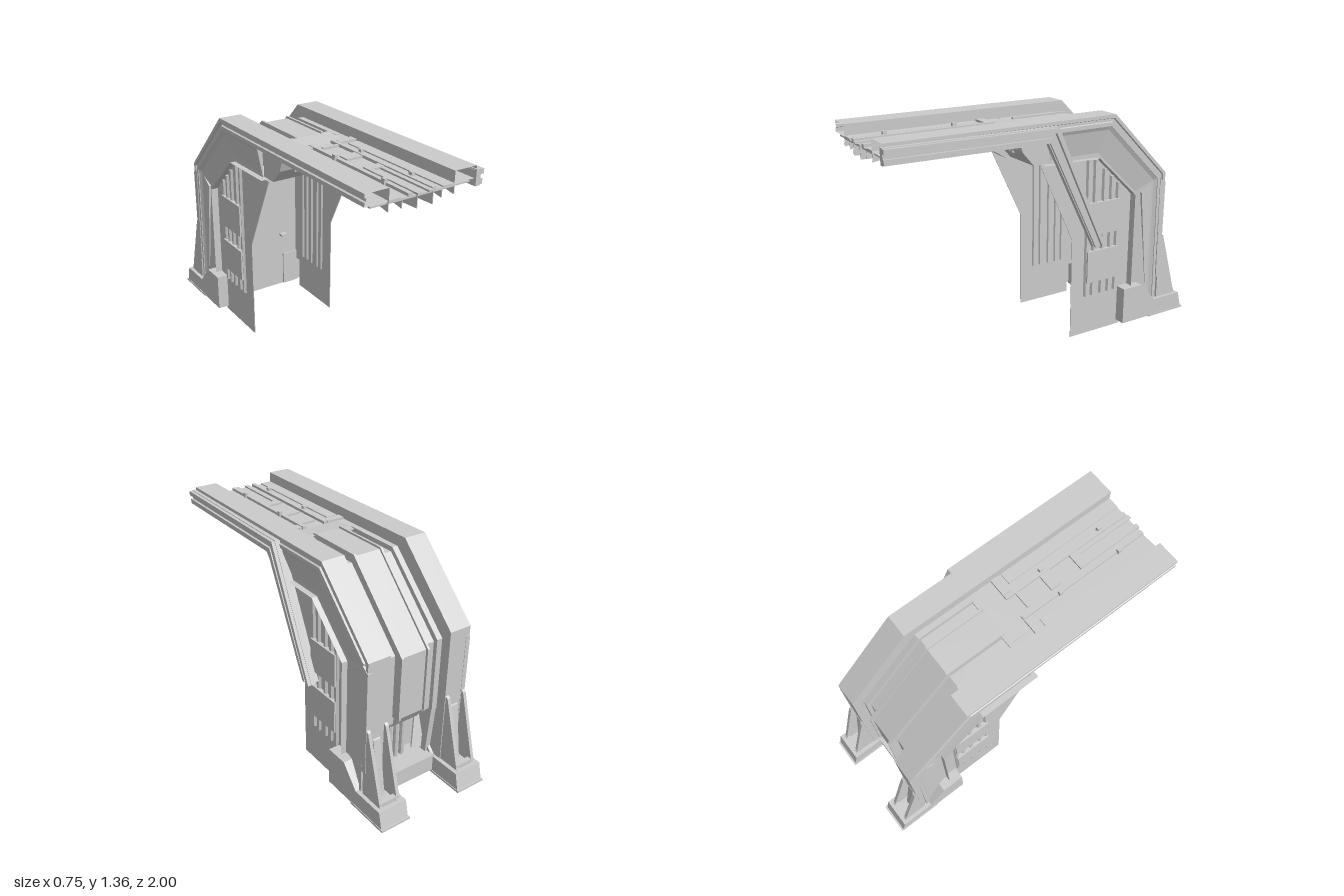
import * as THREE from 'three';

const mat = new THREE.MeshStandardMaterial({ color: 0xcccccc, flatShading: true, side: THREE.DoubleSide });
const CX = -0.01; // mirror plane of the paired parts

export function createModel() {
  const root = new THREE.Group();
  const add = (name, geo, parent = root) => {
    const m = new THREE.Mesh(geo, mat);
    m.name = name;
    parent.add(m);
    return m;
  };
  const box = (name, x0, x1, y0, y1, z0, z1, parent) => {
    const g = new THREE.BoxGeometry(Math.abs(x1 - x0), y1 - y0, Math.abs(z1 - z0));
    g.translate((x0 + x1) / 2, (y0 + y1) / 2, (z0 + z1) / 2);
    return add(name, g, parent);
  };
  // side outline given as [z, y], extruded across x
  const prism = (name, pts, x0, x1, parent) => {
    const s = new THREE.Shape(pts.map(([z, y]) => new THREE.Vector2(z, y)));
    const g = new THREE.ExtrudeGeometry(s, { depth: Math.abs(x1 - x0), bevelEnabled: false });
    g.rotateY(-Math.PI / 2);
    g.translate(Math.max(x0, x1), 0, 0);
    return add(name, g, parent);
  };
  // skin through a list of rails, each { x, path: [[z, y], ...] }
  const skin = (name, rails, parent) => {
    const pos = [], idx = [], n = rails[0].path.length;
    rails.forEach(r => r.path.forEach(([z, y]) => pos.push(r.x, y, z)));
    for (let i = 0; i < rails.length - 1; i++) {
      for (let j = 0; j < n - 1; j++) {
        const a = i * n + j, b = a + n;
        idx.push(a, b, a + 1, b, b + 1, a + 1);
      }
    }
    const g = new THREE.BufferGeometry();
    g.setAttribute('position', new THREE.Float32BufferAttribute(pos, 3));
    g.setIndex(idx);
    g.computeVertexNormals();
    return add(name, g, parent);
  };
  const mix = (A, B, t) => A.map((p, i) => [p[0] + (B[i][0] - p[0]) * t, p[1] + (B[i][1] - p[1]) * t]);
  const band = (A, B) => [...A, ...[...B].reverse()];

  // guide paths of the bent frame
  const outer = [[0.99, 1.355], [-0.41, 1.355], [-0.81, 0.96], [-0.81, 0.1]];
  const rim = [[0.99, 1.29], [-0.38, 1.29], [-0.75, 0.93], [-0.76, 0.1]];
  const rimArch = [[0.02, 1.29], ...rim.slice(1)];
  const inner = [[0.02, 1.11], [-0.31, 1.11], [-0.585, 0.85], [-0.585, 0.1]];

  for (const s of [1, -1]) {
    const side = new THREE.Group();
    side.name = s > 0 ? 'leftFrame' : 'rightFrame';
    root.add(side);
    const X = v => CX + s * v;

    // hollow rim beam with a groove along its outer face
    const section = [[0.2, 1], [0.2, 0], [0.34, 0], [0.34, 0.3], [0.33, 0.36], [0.33, 0.6], [0.34, 0.66], [0.34, 1], [0.2, 1]];
    skin('rimBeam', section.map(([v, t]) => ({ x: X(v), path: mix(outer, rim, t) })), side);
    // sloping flank below the rim, and inner web
    skin('flank', [{ x: X(0.335), path: rimArch }, { x: X(0.325), path: mix(rimArch, inner, 0.12) },
      { x: X(0.3), path: mix(inner, rimArch, 0.14) }, { x: X(0.3), path: inner }], side);
    skin('innerWeb', [{ x: X(0.2), path: rimArch }, { x: X(0.2), path: inner }], side);
    skin('flankCap', [{ x: X(0.335), path: [[0.02, 1.29], [0.02, 1.29]] }, { x: X(0.3), path: [[0.02, 1.29], [0.02, 1.11]] }], side);
    // tapered stiffener on the leg flank
    prism('legStiffener', [[-0.645, 0.85], [-0.75, 0.925], [-0.76, 0.14], [-0.72, 0.14]], X(0.295), X(0.322), side);
    prism('rearRail', [[-0.77, 0.93], [-0.812, 0.9], [-0.812, 0.28], [-0.78, 0.28]], X(0.315), X(0.343), side);

    // side panel with ribs and two blocks
    prism('sidePanel', [[0.06, 1.1], [-0.16, 0.63], [-0.16, 0], [-0.535, 0], [-0.535, 0.2], [-0.585, 0.2],
      [-0.585, 0.85], [-0.31, 1.11]], X(0.286), X(0.29), side);
    for (const z of [-0.265, -0.315, -0.38, -0.435, -0.485]) {
      const top = Math.min(1.1, 1.1 - (-0.31 - z) * 0.93);
      const g = new THREE.CylinderGeometry(0.016, 0.016, top - 0.25, 6);
      g.translate(X(0.29), (top + 0.25) / 2, z);
      add('panelRib', g, side);
    }
    for (const y of [0.34, 0.64]) box('panelBlock', X(0.288), X(0.314), y, y + 0.2, -0.26, -0.49, side);

    // foot: open-bottomed shell, longer outside the side panel than inside it
    const heel = [[-0.65, 0.26], [-0.76, 0.135], [-0.965, 0.135], [-0.99, 0.03]];
    const footOut = [[-0.51, 0.03], [-0.51, 0.26], ...heel];
    const footIn = [[-0.575, 0.03], [-0.575, 0.26], ...heel];
    skin('footShell', [{ x: X(0.292), path: footOut }, { x: X(0.36), path: footOut }], side);
    skin('footShell', [{ x: X(0.18), path: footIn }, { x: X(0.292), path: footIn }], side);
    prism('footCheek', footOut, X(0.35), X(0.362), side);
    prism('footCheek', footIn, X(0.18), X(0.192), side);
    for (const z of [-0.62, -0.75, -0.88]) box('footRib', X(0.185), X(0.35), 0.04, 0.13, z, z - 0.01, side);
    box('footRib', X(0.26), X(0.27), 0.04, 0.13, -0.58, -0.96, side);
    for (const v of [0.175, 0.338]) box('footFlange', X(v), X(v + 0.028), 0.025, 0.037, -0.72, -1, side);
    box('footFlange', X(0.175), X(0.366), 0.025, 0.037, -0.97, -1, side);

    // buttress plates behind the leg
    for (const v of [0.205, 0.32]) {
      prism('buttressPlate', [[-0.8, 0.13], [-0.945, 0.13], [-0.825, 0.55], [-0.8, 0.57]], X(v), X(v + 0.02), side);
    }
    prism('buttressCore', [[-0.8, 0.13], [-0.87, 0.13], [-0.815, 0.48], [-0.8, 0.5]], X(0.25), X(0.295), side);
    box('buttressSill', X(0.205), X(0.34), 0.13, 0.16, -0.91, -0.94, side);

    // side deck rail over the bend
    const rA = [[0.05, 1.29], [-0.35, 1.29], [-0.75, 0.9], [-0.75, 0.45]];
    const rB = [[0.05, 1.25], [-0.33, 1.25], [-0.71, 0.88], [-0.71, 0.45]];
    prism('deckRail', band(rA, rB), X(0.165), X(0.2), side);
    // rear inner cheek, and a plate leaning toward the middle
    prism('rearCheek', [[-0.6, 0.6], [-0.75, 0.5], [-0.72, 0.14], [-0.6, 0.14]], X(0.165), X(0.2), side);
    const plate = box('angledPlate', -0.035, 0.035, 0, 0.2, -0.005, 0.005, side);
    plate.position.set(X(0.11), 0.19, -0.7);
    plate.rotation.set(0.3, 0, -s * 0.3);

    // front deck fittings
    box('trackRail', X(0.06), X(0.085), 1.285, 1.302, 0.15, 0.99, side);
    box('deckStep', X(0.09), X(0.2), 1.285, 1.3, 0.15, 0.2, side);
    box('deckStrip', X(0.13), X(0.2), 1.28, 1.293, 0.22, 0.99, side);
    for (const z of [0.4, 0.81]) box('railClip', X(0.075), X(0.095), 1.29, 1.32, z - 0.012, z + 0.012, side);
    // short fins hanging at the front edge
    for (const v of [0.12, 0.2]) {
      prism('deckFin', [[0.99, 1.28], [0.99, 1.235], [0.93, 1.245], [0.9, 1.28]], X(v), X(v + 0.004), side);
    }

    // small fittings on the inner wall and lintel
    box('wallHook', X(0.155), X(0.2), 0.405, 0.42, -0.585, -0.55, side);
    box('lintelSlot', X(0.155), X(0.2), 1.18, 1.195, 0.14, 0.19, side);
  }

  // inner wall lining the bend
  const lining = [[0.06, 1.115], ...inner.slice(1, 3), [-0.585, 0.03]];
  skin('innerWall', [{ x: CX - 0.335, path: lining }, { x: CX + 0.335, path: lining }]);

  // lintel under the deck
  prism('lintel', [[0.22, 1.28], [0.19, 1.2], [0.12, 1.12], [0.02, 1.12], [0.02, 1.28]], CX - 0.295, CX + 0.31);

  // front deck, flat underside and central track
  box('frontDeck', CX - 0.2, CX + 0.2, 1.276, 1.286, 0, 0.99);
  box('underPanel', CX - 0.3, CX + 0.31, 1.272, 1.28, 0.02, 0.98);
  for (const x of [-0.05, 0.046]) {
    prism('underKeel', [[1, 1.285], [1, 1.22], [0.27, 1.19], [0.14, 1.115], [0.05, 1.115], [0.05, 1.285]], x, x + 0.004);
  }
  prism('keelBlock', [[0.3, 1.28], [0.27, 1.19], [0.14, 1.112], [0.05, 1.112], [0.05, 1.28]], -0.046, 0.046);
  box('keelBar', -0.08, 0.08, 1.25, 1.265, 0.27, 0.29);
  for (const x of [-0.048, 0.022]) box('trackEdge', x, x + 0.026, 1.286, 1.296, 0.63, 1);
  for (const [z0, z1] of [[0.21, 0.23], [0.375, 0.445], [0.58, 0.63]]) box('trackBlock', -0.05, 0.05, 1.28, 1.298, z0, z1);

  // raised plate over the bend, with edge strips and lower side decks
  const top = [[0.02, 1.3], [-0.35, 1.3], [-0.765, 0.88], [-0.765, 0.5], [-0.71, 0.42]];
  const under = [[0.02, 1.24], [-0.32, 1.24], [-0.7, 0.86], [-0.7, 0.5], [-0.69, 0.42]];
  prism('centrePlate', band(top, under), CX - 0.09, CX + 0.09);
  const ridge = [[0.02, 1.312], [-0.355, 1.312], [-0.78, 0.885], [-0.78, 0.5]];
  for (const x of [-0.1, 0.075]) prism('plateEdge', band(ridge, under.slice(0, 4)), x, x + 0.014);
  const low = [[0.02, 1.262], [-0.34, 1.262], [-0.725, 0.88], [-0.725, 0.45]];
  skin('sideDeck', [{ x: CX - 0.2, path: low }, { x: CX + 0.2, path: low }]);
  prism('deckRamp', [[0.16, 1.285], [0.05, 1.285], [0, 1.3], [0.02, 1.3]], CX - 0.15, CX + 0.15);

  // lower rear: cross base, back wall and posts
  box('crossBase', CX - 0.19, CX + 0.19, 0.04, 0.14, -0.775, -0.76);
  box('crossBaseTop', CX - 0.19, CX + 0.19, 0.13, 0.145, -0.585, -0.775);
  box('crossRib', CX - 0.19, CX + 0.19, 0.05, 0.13, -0.66, -0.672);
  box('rearWall', CX - 0.2, CX + 0.2, 0.1, 0.6, -0.61, -0.6);
  for (const x of [-0.045, 0, 0.045]) {
    const g = new THREE.CylinderGeometry(0.016, 0.016, 0.4, 8);
    g.translate(CX + x, 0.34, -0.65);
    add('rearPost', g);
  }

  // rail and diagonal strut on the left flank only
  const up = [[1, 1.338], [0.0, 1.332], [-0.34, 0.59]];
  const dn = [[1, 1.25], [0.06, 1.245], [-0.265, 0.59]];
  prism('flankRail', band(up, dn), 0.322, 0.352);
  prism('flankRidge', band(mix(up, dn, 0.04), mix(up, dn, 0.34)), 0.35, 0.372);
  prism('flankRidge', band(mix(up, dn, 0.62), mix(up, dn, 0.94)), 0.35, 0.366);
  prism('strutBack', band(mix(up, dn, 0.2).slice(1), mix(up, dn, 0.8).slice(1)), 0.292, 0.322);
  return root;
}
